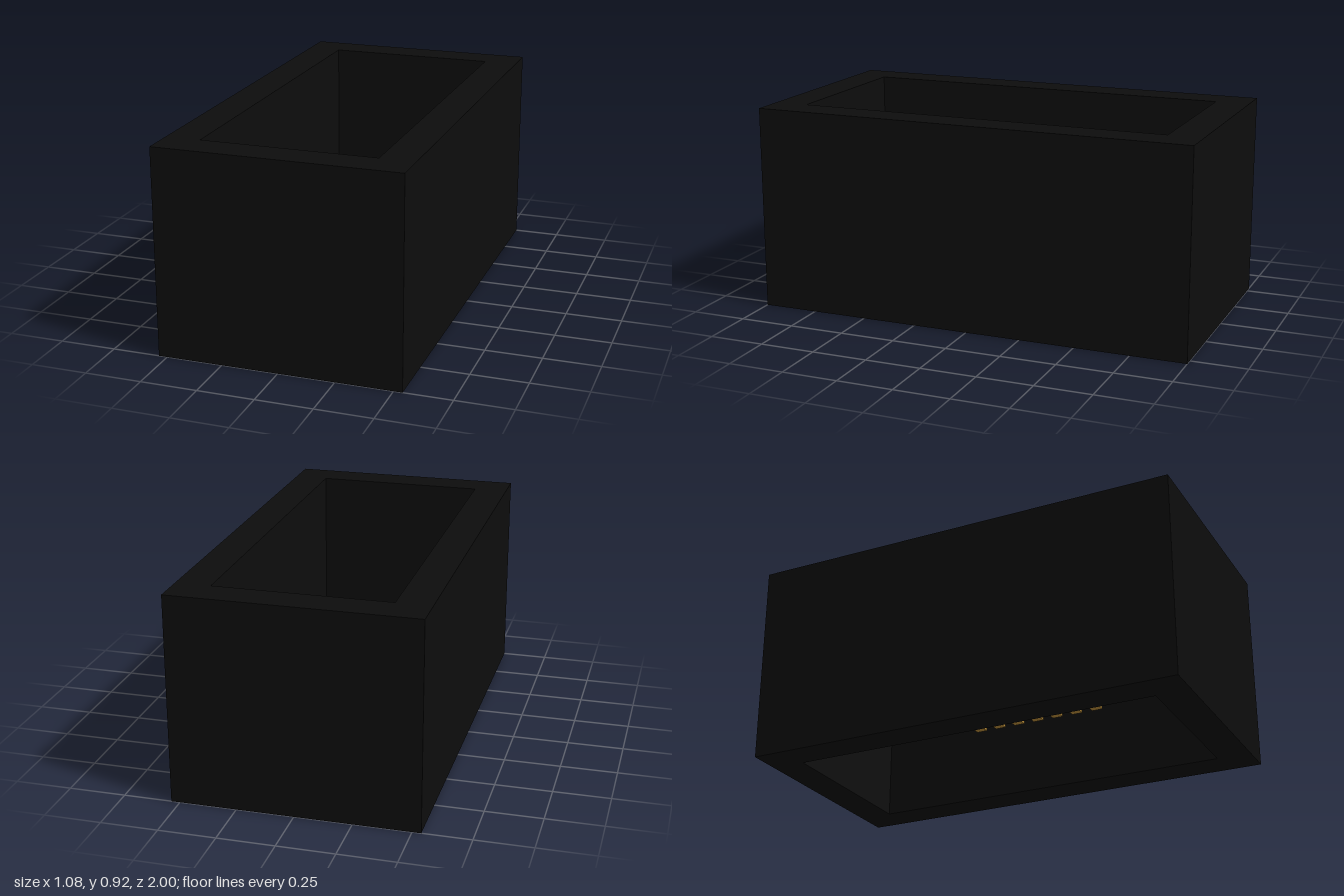
import * as THREE from 'three';

export function createModel() {
  const model = new THREE.Group();
  model.name = 'openBoxWithSlats';

  const black = new THREE.MeshStandardMaterial({ color: 0x0d0d0d });
  black.name = 'black';
  const gold = new THREE.MeshStandardMaterial({ color: 0xb38836 });
  gold.name = 'gold';

  const unit = 2 / 26;
  const width = 14 * unit, length = 2, height = 12 * unit, wall = 2 * unit;

  // Rectangle traced as a closed outline
  const rectangle = (path, w, l) => {
    path.moveTo(-w / 2, -l / 2);
    path.lineTo(w / 2, -l / 2);
    path.lineTo(w / 2, l / 2);
    path.lineTo(-w / 2, l / 2);
    path.closePath();
    return path;
  };

  // Four walls, open at top and bottom
  const outline = rectangle(new THREE.Shape(), width, length);
  outline.holes.push(rectangle(new THREE.Path(), width - 2 * wall, length - 2 * wall));
  const wallGeometry = new THREE.ExtrudeGeometry(outline, { depth: height, bevelEnabled: false });
  wallGeometry.rotateX(-Math.PI / 2);
  const walls = new THREE.Mesh(wallGeometry, black);
  walls.name = 'walls';
  model.add(walls);

  // Row of slats hanging inside the walls
  const slats = new THREE.Group();
  slats.name = 'slats';
  const slatGeometry = new THREE.BoxGeometry(8 * unit, 0.1, 0.05);
  for (let i = -3; i <= 3; i++) {
    const slat = new THREE.Mesh(slatGeometry, gold);
    slat.name = `slat${i + 4}`;
    slat.position.set(0, 0.36, i * 0.1 + 0.003);
    slats.add(slat);
  }
  model.add(slats);

  return model;
}
